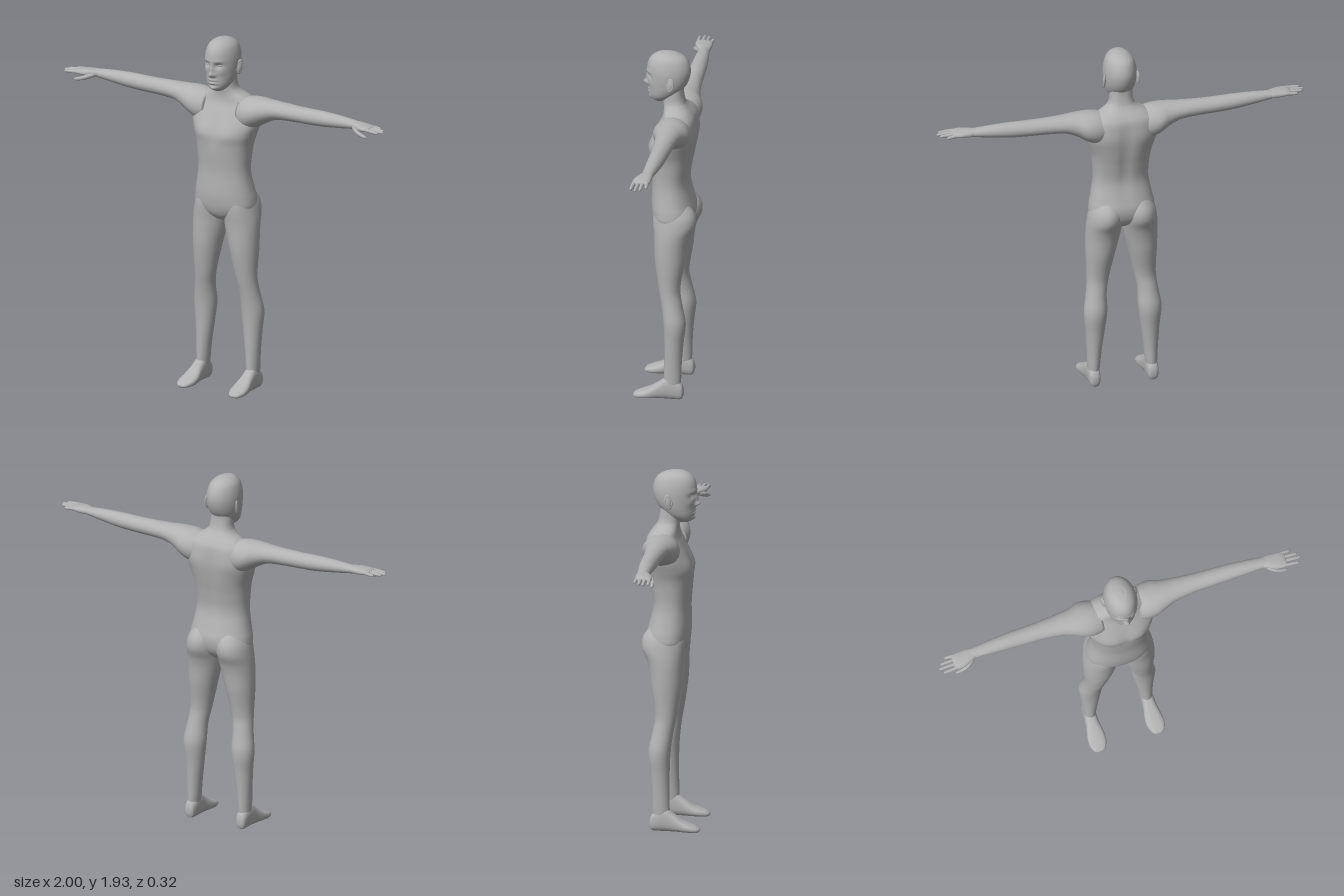
import * as THREE from 'three';

const grey = new THREE.MeshStandardMaterial({ color: 0xb2b2b2 });
grey.name = 'plain grey';

// Smooth skin through cross-sections [t, aMin, aMax, bMin, bMax] along one axis.
const LAYOUT = { x: [0, 1, 2], y: [1, 0, 2], z: [2, 0, 1] };
function loft(rows, axis, { seg = 28, sub = 4, power = 2 } = {}) {
  const [ti, ai, bi] = LAYOUT[axis];
  const rings = [];
  for (let i = 0; i < rows.length - 1; i++) {
    const p = rows[Math.max(i - 1, 0)], q = rows[i], r = rows[i + 1], s = rows[Math.min(i + 2, rows.length - 1)];
    for (let k = 0; k < sub; k++) {
      const u = k / sub;
      rings.push(q.map((v, c) => {
        if (c === 0) return v + (r[c] - v) * u;
        // Cubic easing with slopes that respect uneven spacing
        const h = r[0] - q[0];
        const m0 = i > 0 ? (r[c] - p[c]) / (r[0] - p[0]) * h : r[c] - v;
        const m1 = i < rows.length - 2 ? (s[c] - v) / (s[0] - q[0]) * h : r[c] - v;
        const u2 = u * u, u3 = u2 * u;
        return (2 * u3 - 3 * u2 + 1) * v + (u3 - 2 * u2 + u) * m0 + (3 * u2 - 2 * u3) * r[c] + (u3 - u2) * m1;
      }));
    }
  }
  rings.push(rows[rows.length - 1]);

  const pos = [], index = [];
  const put = (t, a, b) => {
    const v = [0, 0, 0];
    v[ti] = t; v[ai] = a; v[bi] = b;
    pos.push(...v);
  };
  const round = (v) => Math.sign(v) * Math.abs(v) ** (2 / power);
  for (const [t, a0, a1, b0, b1] of rings) {
    for (let j = 0; j < seg; j++) {
      const w = j / seg * Math.PI * 2;
      put(t, (a0 + a1) / 2 + (a1 - a0) / 2 * round(Math.cos(w)), (b0 + b1) / 2 + (b1 - b0) / 2 * round(Math.sin(w)));
    }
  }
  const n = rings.length, last = rings[n - 1], first = rings[0];
  put(first[0], (first[1] + first[2]) / 2, (first[3] + first[4]) / 2);
  put(last[0], (last[1] + last[2]) / 2, (last[3] + last[4]) / 2);
  const flip = (axis === 'y') !== (last[0] < first[0]);
  const tri = (a, b, c) => (flip ? index.push(a, c, b) : index.push(a, b, c));
  for (let j = 0; j < seg; j++) {
    const k = (j + 1) % seg;
    for (let i = 0; i < n - 1; i++) {
      const a = i * seg + j, b = i * seg + k;
      tri(a, b, b + seg);
      tri(a, b + seg, a + seg);
    }
    tri(n * seg, k, j);
    tri(n * seg + 1, (n - 1) * seg + j, (n - 1) * seg + k);
  }
  const g = new THREE.BufferGeometry();
  g.setAttribute('position', new THREE.Float32BufferAttribute(pos, 3));
  g.setIndex(index);
  g.computeVertexNormals();
  return g;
}

// Soft bumps [x, y, rx, ry, dz] on the front (side 1) or back (side -1), mirrored in x.
function sculpt(g, side, zMid, bumps) {
  const p = g.attributes.position;
  for (let i = 0; i < p.count; i++) {
    const x = Math.abs(p.getX(i)), y = p.getY(i), z = p.getZ(i);
    const facing = Math.min(Math.max((z - zMid) * side / 0.04, 0), 1);
    let dz = 0;
    for (const [bx, by, rx, ry, d] of bumps) dz += d * Math.exp(-(((x - bx) / rx) ** 2) - ((y - by) / ry) ** 2);
    p.setZ(i, z + dz * facing);
  }
  g.computeVertexNormals();
  return g;
}

function mirrored(g) {
  const m = g.clone().scale(-1, 1, 1), ix = m.index;
  for (let i = 0; i < ix.count; i += 3) {
    const b = ix.getX(i + 1);
    ix.setX(i + 1, ix.getX(i + 2));
    ix.setX(i + 2, b);
  }
  m.computeVertexNormals();
  return m;
}

export function createModel() {
  const model = new THREE.Group();
  model.name = 'humanFigure';
  const add = (name, g) => {
    const m = new THREE.Mesh(g, grey);
    m.name = name;
    model.add(m);
  };
  const pair = (name, g) => {
    add('left' + name, g);
    add('right' + name, mirrored(g));
  };
  const sym = (rows) => rows.map(([y, w, b, f]) => [y, -w, w, b, f]);

  // Torso and neck
  const torso = loft(sym([
    [0.93, 0.05, -0.08, 0.04], [0.96, 0.12, -0.115, 0.065], [1.0, 0.172, -0.135, 0.08],
    [1.05, 0.174, -0.14, 0.088], [1.1, 0.164, -0.128, 0.09], [1.2, 0.148, -0.107, 0.088],
    [1.3, 0.153, -0.12, 0.096], [1.36, 0.162, -0.132, 0.1], [1.41, 0.178, -0.14, 0.1],
    [1.47, 0.195, -0.146, 0.078], [1.53, 0.19, -0.144, 0.05], [1.57, 0.17, -0.138, 0.032],
    [1.6, 0.135, -0.12, 0.027], [1.625, 0.09, -0.1, 0.028], [1.65, 0.067, -0.085, 0.032],
    [1.7, 0.06, -0.075, 0.035], [1.76, 0.055, -0.075, 0.03],
  ]), 'y', { seg: 48, power: 2.3 });
  sculpt(torso, 1, 0, [[0.08, 1.42, 0.05, 0.05, 0.007], [0, 1.42, 0.018, 0.07, -0.006]]);
  sculpt(torso, -1, -0.03, [[0, 1.35, 0.025, 0.2, 0.012], [0.09, 1.48, 0.05, 0.07, -0.006]]);
  add('torso', torso);

  // Head with sculpted face
  const head = loft(sym([
    [1.927, 0.006, 0.005, 0.02], [1.921, 0.034, -0.035, 0.06], [1.9, 0.063, -0.08, 0.094],
    [1.87, 0.078, -0.102, 0.113], [1.83, 0.086, -0.112, 0.12], [1.79, 0.087, -0.108, 0.117],
    [1.75, 0.083, -0.093, 0.112], [1.72, 0.077, -0.072, 0.11], [1.69, 0.066, -0.045, 0.109],
    [1.665, 0.048, -0.005, 0.1], [1.65, 0.028, 0.025, 0.08],
  ]), 'y', { seg: 72, sub: 7 });
  sculpt(head, 1, 0.03, [
    [0, 1.748, 0.012, 0.013, 0.025], [0, 1.775, 0.01, 0.025, 0.013], [0.014, 1.743, 0.008, 0.008, 0.008],
    [0.034, 1.797, 0.018, 0.013, -0.014], [0.034, 1.822, 0.024, 0.009, 0.004], [0.05, 1.76, 0.02, 0.018, 0.004],
    [0, 1.715, 0.024, 0.006, 0.006], [0, 1.706, 0.024, 0.003, -0.005], [0, 1.698, 0.02, 0.006, 0.006],
    [0, 1.686, 0.025, 0.005, -0.004], [0, 1.668, 0.022, 0.012, 0.009],
  ]);
  add('head', head);
  pair('Eye', new THREE.SphereGeometry(0.013, 16, 10).scale(1.1, 0.7, 0.8).translate(0.034, 1.797, 0.089));

  // Ears: flattened shell with a raised rim
  const placeEar = (g) => g.rotateY(1.25).rotateX(-0.15).translate(0.09, 1.772, -0.018);
  pair('Ear', placeEar(new THREE.SphereGeometry(0.02, 16, 12).scale(0.9, 1.7, 0.4)));
  pair('EarRim', placeEar(new THREE.TorusGeometry(0.018, 0.005, 8, 24).scale(1, 1.75, 1)));

  // Arms, sections run outward from the chest
  pair('Arm', loft([
    [0.1, 1.44, 1.6, -0.125, 0.045], [0.15, 1.435, 1.613, -0.138, 0.055], [0.2, 1.457, 1.616, -0.138, 0.053],
    [0.25, 1.487, 1.615, -0.118, 0.038], [0.31, 1.513, 1.612, -0.105, 0.02], [0.41, 1.521, 1.609, -0.094, 0.008],
    [0.5, 1.523, 1.608, -0.089, 0.005], [0.6, 1.527, 1.609, -0.084, 0.003], [0.7, 1.538, 1.606, -0.075, 0.001],
    [0.78, 1.549, 1.6, -0.065, -0.002], [0.82, 1.555, 1.596, -0.06, 0.0], [0.84, 1.56, 1.592, -0.05, 0.0],
  ], 'x'));

  // Hands: palm, four fingers and thumb
  pair('Palm', loft([
    [0.79, 1.56, 1.592, -0.058, -0.004], [0.82, 1.557, 1.596, -0.063, 0.008], [0.86, 1.557, 1.594, -0.064, 0.026],
    [0.9, 1.561, 1.59, -0.06, 0.03], [0.92, 1.566, 1.584, -0.05, 0.024],
  ], 'x', { power: 2.4 }));
  const fingers = [['Index', 0.018, 0.024, 0.984], ['Middle', -0.005, -0.002, 1.0],
    ['Ring', -0.027, -0.026, 0.987], ['Little', -0.048, -0.053, 0.955]];
  for (const [name, z0, z1, tip] of fingers) {
    const rows = [[0, 0.01], [0.5, 0.0095], [0.85, 0.008], [0.96, 0.006], [1, 0.002]].map(([u, r]) => {
      const z = z0 + (z1 - z0) * u, y = 1.577 - 0.006 * u;
      return [0.885 + (tip - 0.885) * u, y - r, y + r, z - r, z + r];
    });
    pair(name + 'Finger', loft(rows, 'x', { seg: 12, sub: 2 }));
  }
  pair('Thumb', loft([
    [0.81, 1.56, 1.58, -0.012, 0.008], [0.84, 1.548, 1.575, 0.005, 0.03], [0.87, 1.539, 1.562, 0.018, 0.039],
    [0.9, 1.534, 1.552, 0.024, 0.041], [0.915, 1.534, 1.546, 0.027, 0.038], [0.919, 1.538, 1.542, 0.03, 0.034],
  ], 'x', { seg: 14, sub: 3 }));

  // Legs, their tops form the buttocks
  pair('Leg', loft([
    [1.11, 0.03, 0.13, -0.1, 0.05], [1.04, 0.003, 0.171, -0.15, 0.07], [0.98, 0, 0.185, -0.156, 0.071],
    [0.92, 0.003, 0.192, -0.13, 0.065], [0.86, 0.013, 0.194, -0.115, 0.062], [0.77, 0.034, 0.193, -0.104, 0.057],
    [0.62, 0.068, 0.187, -0.08, 0.035], [0.53, 0.084, 0.195, -0.093, 0.018], [0.43, 0.085, 0.21, -0.113, 0.005],
    [0.32, 0.098, 0.201, -0.102, 0], [0.2, 0.114, 0.193, -0.093, 0], [0.1, 0.124, 0.189, -0.09, 0.002],
    [0.05, 0.13, 0.185, -0.085, 0.002],
  ], 'y', { seg: 32 }));

  // Feet, heel to toe
  pair('Foot', loft([
    [-0.104, 0.145, 0.172, 0.025, 0.06], [-0.095, 0.132, 0.184, 0.004, 0.085], [-0.06, 0.125, 0.19, 0, 0.115],
    [-0.02, 0.124, 0.192, 0, 0.125], [0.02, 0.121, 0.196, 0, 0.098], [0.07, 0.112, 0.206, 0, 0.062],
    [0.11, 0.113, 0.209, 0, 0.044], [0.145, 0.127, 0.198, 0, 0.03], [0.158, 0.138, 0.186, 0.003, 0.022],
    [0.163, 0.15, 0.174, 0.008, 0.016],
  ], 'z', { power: 2.5 }));

  return model;
}
